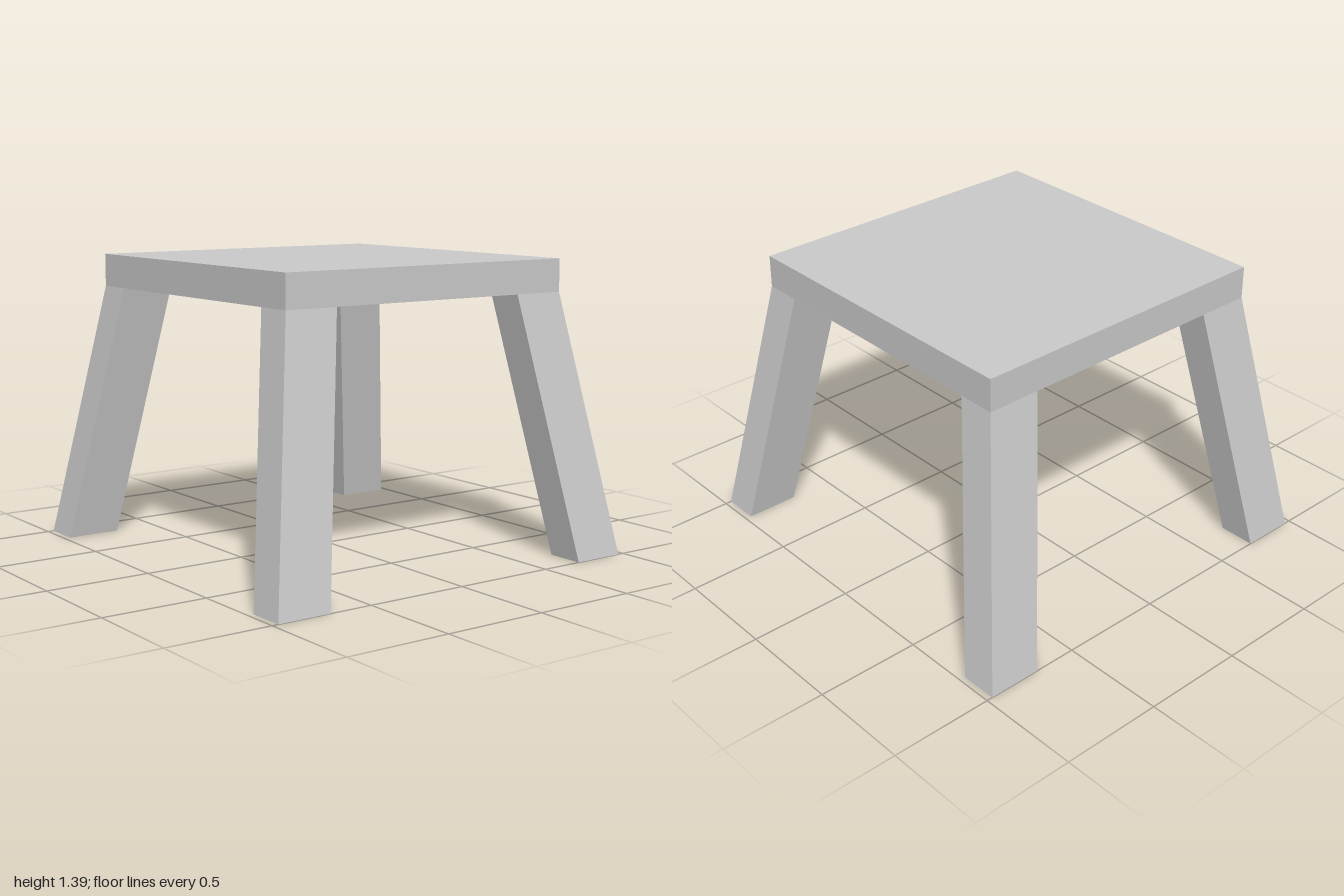
import * as THREE from 'three';

const material = new THREE.MeshStandardMaterial({ color: 0xcccccc, flatShading: true });

const SEAT = 1.54, SEAT_BOTTOM = 1.235, SEAT_TOP = 1.39;
const LEG_W = 0.18, LEG_D = 0.26;
const SPLAY_X = 0.23, SPLAY_Z = 0.2;

// Leg flush with a seat corner at the top, sheared outwards towards the foot
function createLeg(sx, sz) {
  const geometry = new THREE.BoxGeometry(LEG_W, SEAT_BOTTOM, LEG_D);
  geometry.translate(sx * (SEAT - LEG_W) / 2, SEAT_BOTTOM / 2, sz * (SEAT - LEG_D) / 2);
  const p = geometry.attributes.position;
  for (let i = 0; i < p.count; i++) {
    const drop = 1 - p.getY(i) / SEAT_BOTTOM;
    p.setX(i, p.getX(i) + sx * SPLAY_X * drop);
    p.setZ(i, p.getZ(i) + sz * SPLAY_Z * drop);
  }
  geometry.computeVertexNormals();
  return new THREE.Mesh(geometry, material);
}

export function createModel() {
  const model = new THREE.Group();
  model.name = 'stool';

  // Square slab seat
  const seat = new THREE.Mesh(new THREE.BoxGeometry(SEAT, SEAT_TOP - SEAT_BOTTOM, SEAT), material);
  seat.name = 'seat';
  seat.position.y = (SEAT_TOP + SEAT_BOTTOM) / 2;
  model.add(seat);

  // Four splayed legs
  for (const [sz, end] of [[1, 'front'], [-1, 'back']]) {
    for (const [sx, side] of [[1, 'Left'], [-1, 'Right']]) {
      const leg = createLeg(sx, sz);
      leg.name = `${end}${side}Leg`;
      model.add(leg);
    }
  }
  return model;
}
